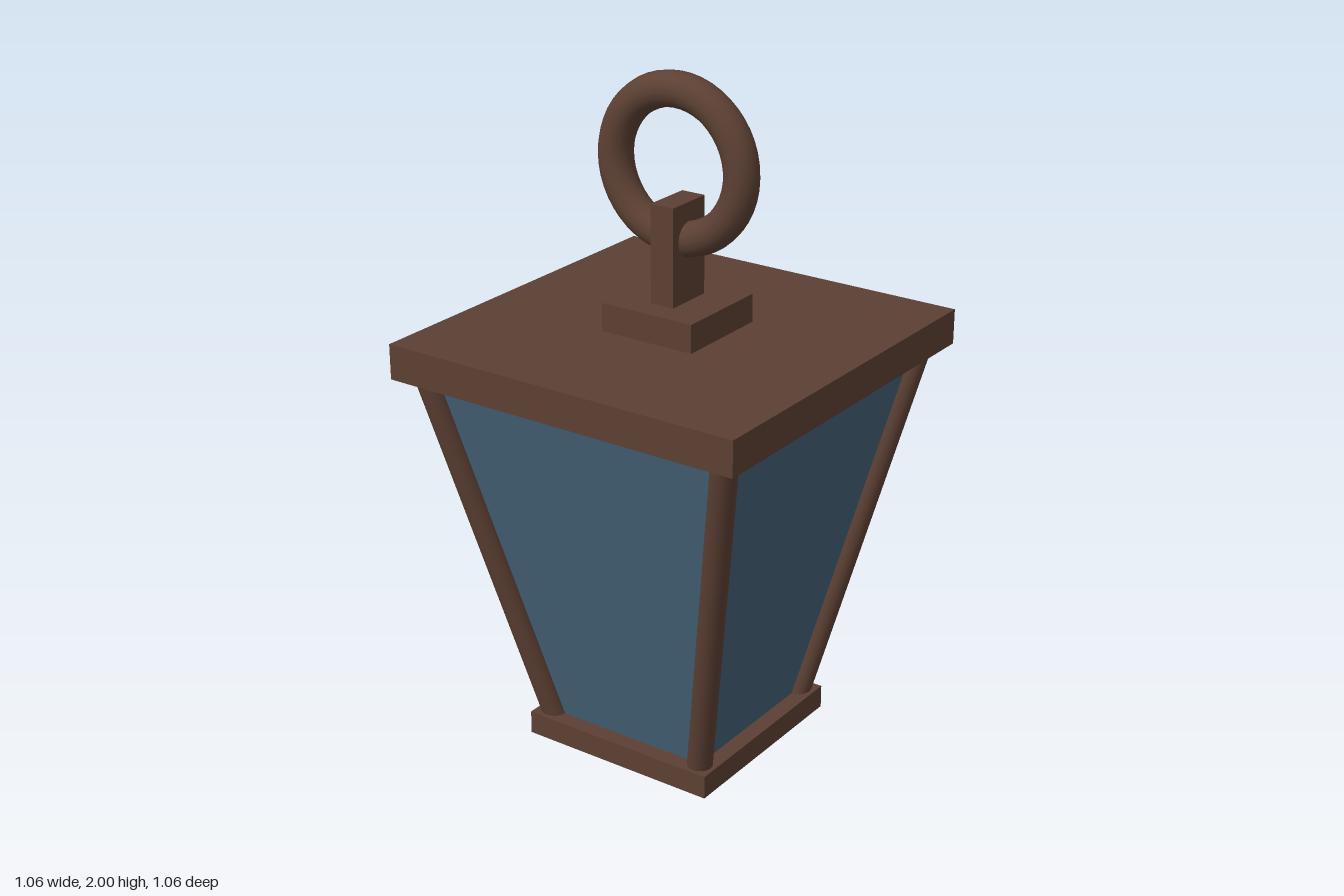
import * as THREE from 'three';

const metal = new THREE.MeshStandardMaterial({ color: 0x5c4033, flatShading: true });
const smoothMetal = new THREE.MeshStandardMaterial({ color: 0x5c4033 });
const glass = new THREE.MeshStandardMaterial({ color: 0x456378, flatShading: true, side: THREE.DoubleSide });

export function createModel() {
  const group = new THREE.Group();

  function add(name, geometry, material, y = 0) {
    const mesh = new THREE.Mesh(geometry, material);
    mesh.name = name;
    mesh.position.y = y;
    group.add(mesh);
    return mesh;
  }

  // Box given by its width, depth and vertical extent
  const slab = (name, width, depth, bottom, top) =>
    add(name, new THREE.BoxGeometry(width, top - bottom, depth), metal, (top + bottom) / 2);

  // Stacked square plates
  slab('basePlate', 0.584, 0.584, 0.14, 0.206);
  slab('roofPlate', 1.056, 1.056, 1.225, 1.322);
  slab('hangerBlock', 0.28, 0.28, 1.322, 1.4);
  slab('hangerPost', 0.14, 0.07, 1.4, 1.667);

  // Rounded knob under the base
  add('bottomKnob', new THREE.SphereGeometry(0.17, 32, 16), metal, 0.17);

  // Hanging ring, standing in the y-z plane
  add('hangingRing', new THREE.TorusGeometry(0.194, 0.047, 16, 48), smoothMetal, 1.759).rotation.y = Math.PI / 2;

  // Tapered body: distance of the corners from the axis at a given height
  const low = 0.19, high = 1.24;
  const halfAt = (y) => 0.245 + ((y - 0.206) / (1.225 - 0.206)) * (0.461 - 0.245);

  // Four glass panes as one open square frustum
  const panes = new THREE.CylinderGeometry(
    halfAt(high) * Math.SQRT2, halfAt(low) * Math.SQRT2, high - low, 4, 1, true);
  panes.rotateY(Math.PI / 4);
  add('glassPanes', panes, glass, (low + high) / 2);

  // Slanted round bars along the four corners
  for (const sx of [-1, 1]) {
    for (const sz of [-1, 1]) {
      const corner = (y) => new THREE.Vector3(sx * halfAt(y), y, sz * halfAt(y));
      const start = corner(low), end = corner(high);
      const direction = end.clone().sub(start);
      const bar = add('cornerBar', new THREE.CylinderGeometry(0.035, 0.035, direction.length(), 16), smoothMetal);
      bar.position.copy(start).add(end).multiplyScalar(0.5);
      bar.quaternion.setFromUnitVectors(new THREE.Vector3(0, 1, 0), direction.normalize());
    }
  }

  return group;
}
